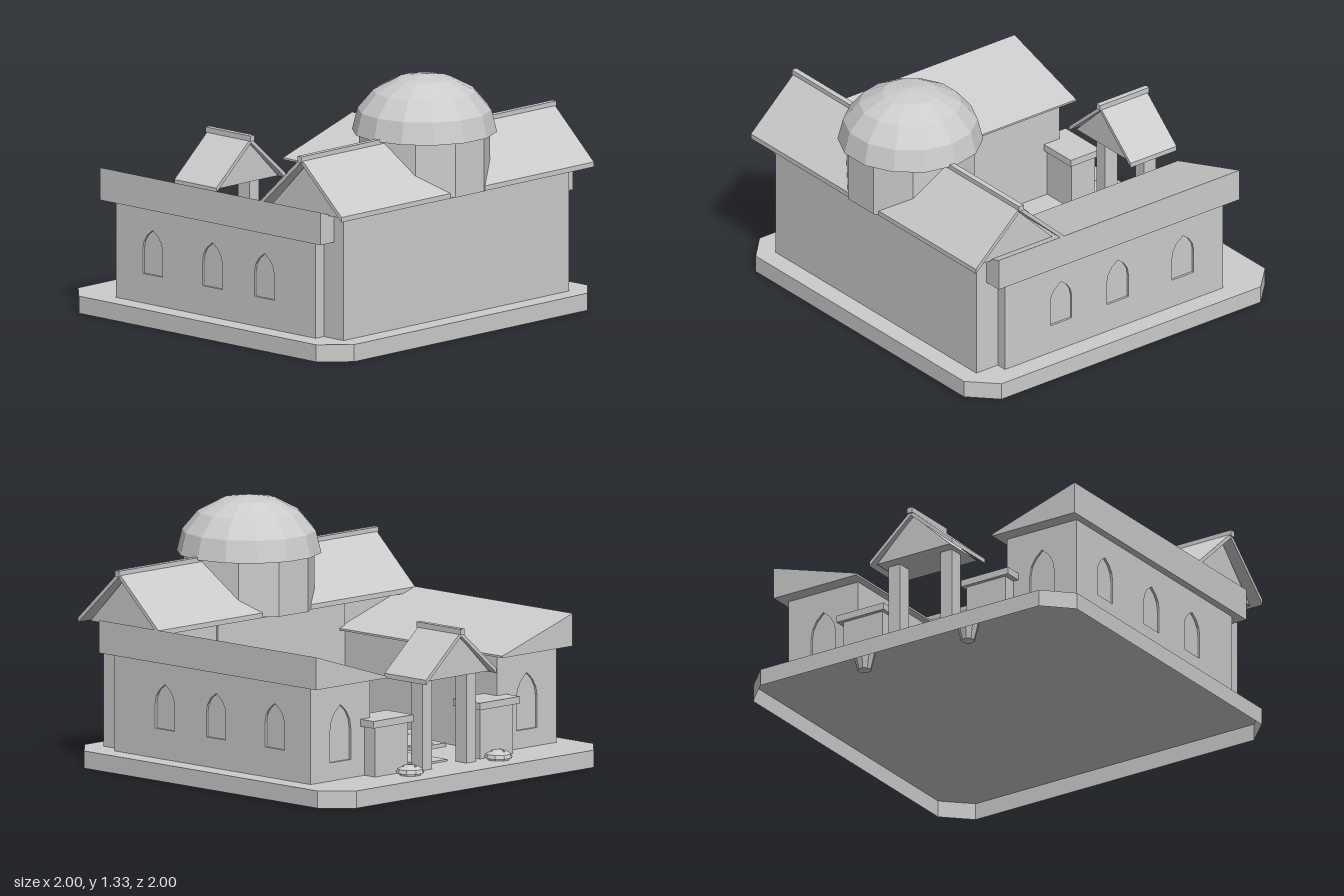
import * as THREE from 'three';

const stone = new THREE.MeshStandardMaterial({ color: 0xcccccc, side: THREE.DoubleSide });
stone.name = 'pale stone';

export function createModel() {
  const model = new THREE.Group();
  const ground = 0.09;

  // Adds a part with faceted normals
  function add(name, geometry, x = 0, y = 0, z = 0) {
    const flat = geometry.index ? geometry.toNonIndexed() : geometry;
    flat.computeVertexNormals();
    const mesh = new THREE.Mesh(flat, stone);
    mesh.name = name;
    mesh.position.set(x, y, z);
    model.add(mesh);
  }

  // Box given by its limits on each axis
  function box(name, x0, x1, y0, y1, z0, z1) {
    add(name, new THREE.BoxGeometry(x1 - x0, y1 - y0, z1 - z0),
      (x0 + x1) / 2, (y0 + y1) / 2, (z0 + z1) / 2);
  }

  const outline = (points) => new THREE.Shape(points.map(([x, y]) => new THREE.Vector2(x, y)));

  // Shape extruded along z and centred
  const prism = (shape, depth) => new THREE.ExtrudeGeometry(shape,
    { depth, bevelEnabled: false, curveSegments: 3 }).translate(0, 0, -depth / 2);

  // Wall face from u0 to u1 with pointed-arch niches: [centre, sill, width, height]
  const skin = 0.012;
  function nicheWall(u0, u1, top, niches) {
    const wall = outline([[u0, ground], [u1, ground], [u1, top], [u0, top]]);
    for (const [u, sill, width, height] of niches) {
      const w = width / 2, spring = sill + height * 0.55, shoulder = sill + height * 0.82;
      const hole = new THREE.Path();
      hole.moveTo(u - w, sill);
      hole.lineTo(u - w, spring);
      hole.quadraticCurveTo(u - w, shoulder, u, sill + height);
      hole.quadraticCurveTo(u + w, shoulder, u + w, spring);
      hole.lineTo(u + w, sill);
      hole.closePath();
      wall.holes.push(hole);
    }
    return prism(wall, skin);
  }

  // Turned shape from [radius, height] pairs
  const turned = (profile, sides) =>
    new THREE.LatheGeometry(profile.map(([r, y]) => new THREE.Vector2(r, y)), sides);

  // Chevron of two thin roof panels
  const chevron = (half, eave, peak, t) => outline([
    [-half, eave], [0, peak - t], [half, eave], [half, eave + t], [0, peak], [-half, eave + t]]);

  // Hollow base: a deck with cut corners and a skirt down to the floor
  const corners = [[-0.86, -0.965], [0.86, -0.965], [1, -0.83], [1, 0.86],
    [0.86, 1], [-0.86, 1], [-1, 0.86], [-1, -0.83]];
  add('baseDeck', new THREE.ShapeGeometry(outline(corners)).rotateX(-Math.PI / 2), 0, ground, 0);
  const skirt = [];
  corners.forEach(([ax, ay], i) => {
    const [bx, by] = corners[(i + 1) % corners.length];
    skirt.push(ax, 0, -ay, bx, 0, -by, bx, ground, -by);
    skirt.push(ax, 0, -ay, bx, ground, -by, ax, ground, -ay);
  });
  const skirtGeometry = new THREE.BufferGeometry();
  skirtGeometry.setAttribute('position', new THREE.Float32BufferAttribute(skirt, 3));
  add('baseSkirt', skirtGeometry);

  // Main hall with its gabled roof
  const roofZ = 0.652, hallBack = 0.4;
  box('hallWalls', -0.83, 0.83, ground, 0.74, hallBack + skin, 0.86);
  add('hallCourtWall', nicheWall(-0.46, 0.46, 0.74, [[0, 0.1, 0.25, 0.4]]), 0, 0, hallBack + skin / 2);
  add('hallGable', prism(outline([[-0.262, 0.74], [0.262, 0.74], [0, 1.0]]), 1.74).rotateY(Math.PI / 2), 0, 0, roofZ);
  add('hallRoof', prism(chevron(0.29, 0.737, 1.03, 0.026), 1.86).rotateY(Math.PI / 2), 0, 0, roofZ);
  box('hallRidge', -0.94, 0.94, 1.01, 1.04, roofZ - 0.015, roofZ + 0.015);

  // Drum and dome
  const drum = new THREE.CylinderGeometry(0.34, 0.34, 0.285, 10);
  drum.rotateY(Math.PI / 10);
  add('drum', drum, 0, 0.883, 0.635);
  const dome = new THREE.SphereGeometry(0.373, 14, 4, 0, Math.PI * 2, 0, Math.PI / 2);
  dome.scale(1, 0.297 / 0.373, 1);
  add('dome', dome, 0, 1.028, 0.635);
  add('domeUnderside', new THREE.CircleGeometry(0.373, 14).rotateX(Math.PI / 2), 0, 1.028, 0.635);

  // Canopy and diamond ornament on the courtyard wall
  box('courtCanopy', 0.25, 0.43, 0.545, 0.57, 0.33, hallBack);
  box('courtBracket', 0.385, 0.4, 0.33, 0.545, hallBack - 0.012, hallBack);
  add('courtDiamond', prism(outline([[-0.025, 0], [0, -0.04], [0.025, 0], [0, 0.04]]), 0.009),
    0.355, 0.44, hallBack - 0.004);

  for (const s of [-1, 1]) {
    const span = (name, a, b, ...rest) => box(name, Math.min(s * a, s * b), Math.max(s * a, s * b), ...rest);

    // Side wing with niches and a roof falling towards the courtyard
    span('wingCore', 0.46, 0.89 - skin, ground, 0.6, -0.7 + skin, 0.72);
    const windows = [0.355, -0.015, -0.44].map((z) => [-s * z, 0.245, 0.14, 0.235]);
    add('wingOuterWall', nicheWall(Math.min(-s * 0.72, s * 0.7), Math.max(-s * 0.72, s * 0.7), 0.6, windows)
      .rotateY(s * Math.PI / 2), s * (0.89 - skin / 2), 0, 0);
    const ends = [s * 0.46, s * (0.89 - skin)];
    add('wingEndWall', nicheWall(Math.min(...ends), Math.max(...ends), 0.6, [[s * 0.675, 0.185, 0.15, 0.295]]),
      0, 0, -0.7 + skin / 2);
    const wedge = outline([[s * 0.42, 0.595], [s * 0.93, 0.595], [s * 0.93, 0.765], [s * 0.42, 0.605]]);
    add('wingRoof', prism(wedge, 1.57), 0, 0, 0.007);

    // Gate walls, caps and posts
    span('gateWall', 0.26, 0.5, ground, 0.35, -0.775, -0.62);
    span('gateWallCap', 0.24, 0.53, 0.348, 0.385, -0.795, -0.6);
    span('gatePost', 0.125, 0.195, ground, 0.58, -0.813, -0.733);

    // Planting bed with low shrubs
    span('plantingBed', 0.185, 0.4, ground, 0.11, -0.39, 0.28);
    for (const z of [-0.28, -0.065, 0.15])
      add('shrub', turned([[0.095, 0], [0.068, 0.055], [0, 0.085]], 7), s * 0.29, 0.11, z);

    // Potted plant beside the gate, its pot sunk through the deck
    add('pottedPlant', turned([[0, 0], [0.035, 0], [0.06, 0.1], [0.074, 0.1], [0.066, 0.12],
      [0.035, 0.137], [0, 0.142]], 9), s * 0.32, 0.001, -0.85);
    for (const a of [0.5, 2.6, 4.7])
      add('bud', new THREE.IcosahedronGeometry(0.008),
        s * 0.32 + 0.035 * Math.cos(a), 0.135, -0.85 + 0.035 * Math.sin(a));
  }

  // Gate roof
  add('gateGable', prism(outline([[-0.225, 0.565], [0.225, 0.565], [0, 0.78]]), 0.25), 0, 0, -0.75);
  add('gateRoof', prism(chevron(0.255, 0.553, 0.8, 0.025), 0.3), 0, 0, -0.75);
  box('gateRidge', -0.015, 0.015, 0.785, 0.815, -0.91, -0.59);

  // Courtyard path
  box('path', -0.1, 0.1, ground, 0.1, -0.7, hallBack);

  return model;
}
